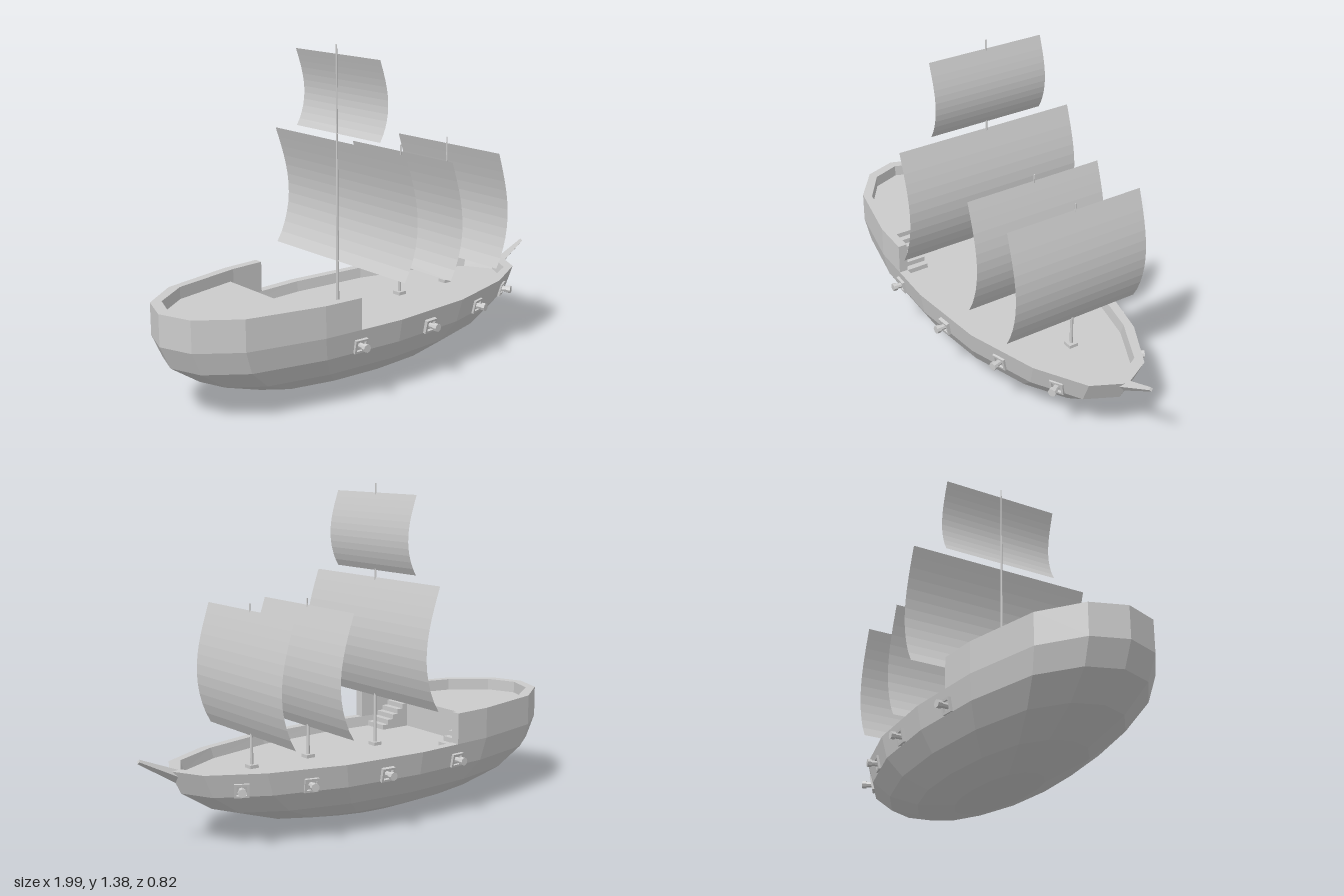
import * as THREE from 'three';

const grey = new THREE.MeshStandardMaterial({ color: 0xcccccc, flatShading: true });
const cloth = new THREE.MeshStandardMaterial({ color: 0xcccccc, flatShading: true, side: THREE.DoubleSide });

// Half outline of the hull at the rail, stern to bow: [x, z]
const OUTLINE = [[-1, 0], [-0.95, 0.14], [-0.79, 0.26], [-0.47, 0.335], [-0.1, 0.36],
  [0.265, 0.335], [0.58, 0.25], [0.79, 0.135], [0.86, 0]];
const MID = -0.1, RAIL = 0.31, DECK = 0.265, POOP_DECK = 0.39, POOP_RAIL = 0.44;

// Half outline scaled about the middle of the ship
const scaled = (sx, sz) => OUTLINE.map(([x, z]) => [MID + (x - MID) * sx, z * sz]);

// Part of a half outline behind x = cut
function aft(half, cut) {
  const i = half.findIndex(p => p[0] > cut);
  const [a, b] = [half[i - 1], half[i]];
  const t = (cut - a[0]) / (b[0] - a[0]);
  return [...half.slice(0, i), [cut, a[1] + (b[1] - a[1]) * t]];
}

function add(parent, name, geometry, material = grey) {
  const mesh = new THREE.Mesh(geometry, material);
  mesh.name = name;
  parent.add(mesh);
  return mesh;
}

// Surface through closed rings, each given as [y, scaleX, scaleZ]
function loft(rings) {
  const n = 2 * OUTLINE.length - 2, pos = [], index = [];
  for (const [y, sx, sz] of rings) {
    const half = scaled(sx, sz);
    for (const [x, z] of half) pos.push(x, y, z);
    for (const [x, z] of half.slice(1, -1).reverse()) pos.push(x, y, -z);
  }
  for (let r = 0; r < rings.length - 1; r++) {
    for (let j = 0; j < n; j++) {
      const k = (j + 1) % n;
      const a = r * n + j, b = r * n + k, c = b + n, d = a + n;
      if (rings[r + 1][1] > 0) index.push(a, c, d);
      if (rings[r][1] > 0) index.push(a, b, c);
    }
  }
  const g = new THREE.BufferGeometry();
  g.setAttribute('position', new THREE.Float32BufferAttribute(pos, 3));
  g.setIndex(index);
  const flat = g.toNonIndexed();
  flat.computeVertexNormals();
  return flat;
}

// Flat outline in x and z, raised from y0 to y1
function slab(points, y0, y1) {
  const shape = new THREE.Shape(points.map(([x, z]) => new THREE.Vector2(x, z)));
  return new THREE.ExtrudeGeometry(shape, { depth: y1 - y0, bevelEnabled: false })
    .rotateX(-Math.PI / 2).translate(0, y0, 0);
}
const flip = half => half.map(([x, z]) => [x, -z]);

// Gun port frame with a barrel, facing +z before turning
function cannon(x, z, turn) {
  const group = new THREE.Group();
  group.name = 'cannon';
  const square = s => [[-s, -s], [s, -s], [s, s], [-s, s]].map(p => new THREE.Vector2(...p));
  const shape = new THREE.Shape(square(0.029));
  shape.holes.push(new THREE.Path(square(0.02)));
  const frame = add(group, 'gunPortFrame',
    new THREE.ExtrudeGeometry(shape, { depth: 0.025, bevelEnabled: false }).translate(0, 0, -0.014));
  frame.rotation.x = 0.22;
  const cylinder = (r, length, z0) =>
    new THREE.CylinderGeometry(r, r, length, 8).rotateX(Math.PI / 2).translate(0, 0, z0);
  add(group, 'barrel', cylinder(0.012, 0.07, 0.01));
  add(group, 'muzzle', cylinder(0.017, 0.018, 0.04));
  group.position.set(x, 0.243, z);
  group.rotation.y = turn;
  return group;
}

// Square sail bellying forward, fullest a little below its middle
function sail(x, bottom, top, halfWidth, belly) {
  const h = top - bottom;
  const g = new THREE.PlaneGeometry(2 * halfWidth, h, 1, 12).rotateY(Math.PI / 2);
  const p = g.attributes.position;
  for (let i = 0; i < p.count; i++) {
    const t = Math.min(1, Math.max(0, p.getY(i) / h + 0.5));
    p.setX(i, belly * Math.sin(Math.PI * Math.pow(t, 0.85)));
  }
  g.translate(x, (top + bottom) / 2, 0);
  g.computeVertexNormals();
  return g;
}

export function createModel() {
  const ship = new THREE.Group();
  ship.name = 'sailingShip';

  // Round-bottomed hull, rail, inner wall and main deck
  const rings = [];
  for (let i = 5; i >= 0; i--) {
    const a = i * Math.PI / 10, s = i === 5 ? 0 : Math.cos(a);
    rings.push([RAIL * (1 - Math.sin(a)), s, s]);
  }
  rings.push([RAIL, 0.95, 0.89], [DECK, 0.935, 0.87], [DECK, 0, 0]);
  add(ship, 'hull', loft(rings));

  // Raised stern wall and stern deck
  const outer = aft(OUTLINE, -0.3), inner = aft(scaled(0.95, 0.89), -0.3);
  const wall = [...outer, ...flip(outer).reverse().slice(0, -1)];
  const bay = [...inner, ...flip(inner).reverse().slice(0, -1)];
  // The bay opens forward, so the wall is one horseshoe
  const horseshoe = [...outer.slice().reverse(), ...flip(outer).slice(1),
    ...flip(inner).reverse(), ...inner.slice(1)];
  if (wall.length && bay.length) add(ship, 'sternWall', slab(horseshoe, RAIL, POOP_RAIL));
  const poop = aft(scaled(0.952, 0.892), -0.47);
  add(ship, 'sternDeck', slab([...poop, ...flip(poop).reverse().slice(0, -1)], DECK - 0.005, POOP_DECK));

  // Stairs on both sides
  for (const side of [1, -1]) {
    const stairs = new THREE.Group();
    stairs.name = 'stairs';
    for (let i = 0; i < 5; i++) {
      const h = (POOP_DECK - DECK) * (5 - i) / 6;
      add(stairs, 'step', new THREE.BoxGeometry(0.028, h, 0.11)
        .translate(-0.456 + i * 0.028, DECK + h / 2, side * 0.245));
    }
    ship.add(stairs);
  }

  // Cannons along both sides: x, z, turn
  for (const [x, z, turn] of [[-0.3, 0.334, -0.07], [0.07, 0.339, 0.07], [0.4, 0.282, 0.26], [0.655, 0.185, 0.5]]) {
    ship.add(cannon(x, z, turn));
    ship.add(cannon(x, -z, Math.PI - turn));
  }

  // Masts with foot blocks: x, top
  for (const [x, top] of [[-0.135, 1.375], [0.215, 0.925], [0.49, 0.925]]) {
    add(ship, 'mast', new THREE.CylinderGeometry(0.003, 0.007, top - DECK, 8)
      .translate(x, (top + DECK) / 2, 0));
    add(ship, 'mastFoot', new THREE.BoxGeometry(0.04, 0.014, 0.04).translate(x, DECK + 0.007, 0));
  }

  // Sails
  add(ship, 'mainSail', sail(-0.135, 0.48, 0.985, 0.41, 0.066), cloth);
  add(ship, 'topSail', sail(-0.135, 1.015, 1.337, 0.262, 0.042), cloth);
  add(ship, 'middleSail', sail(0.215, 0.395, 0.897, 0.312, 0.064), cloth);
  add(ship, 'foreSail', sail(0.49, 0.395, 0.897, 0.312, 0.062), cloth);

  // Bowsprit
  const sprit = add(ship, 'bowsprit', new THREE.CylinderGeometry(0.009, 0.028, 0.215, 4));
  sprit.position.set(0.895, 0.319, 0);
  sprit.rotation.z = -1.1;
  return ship;
}
